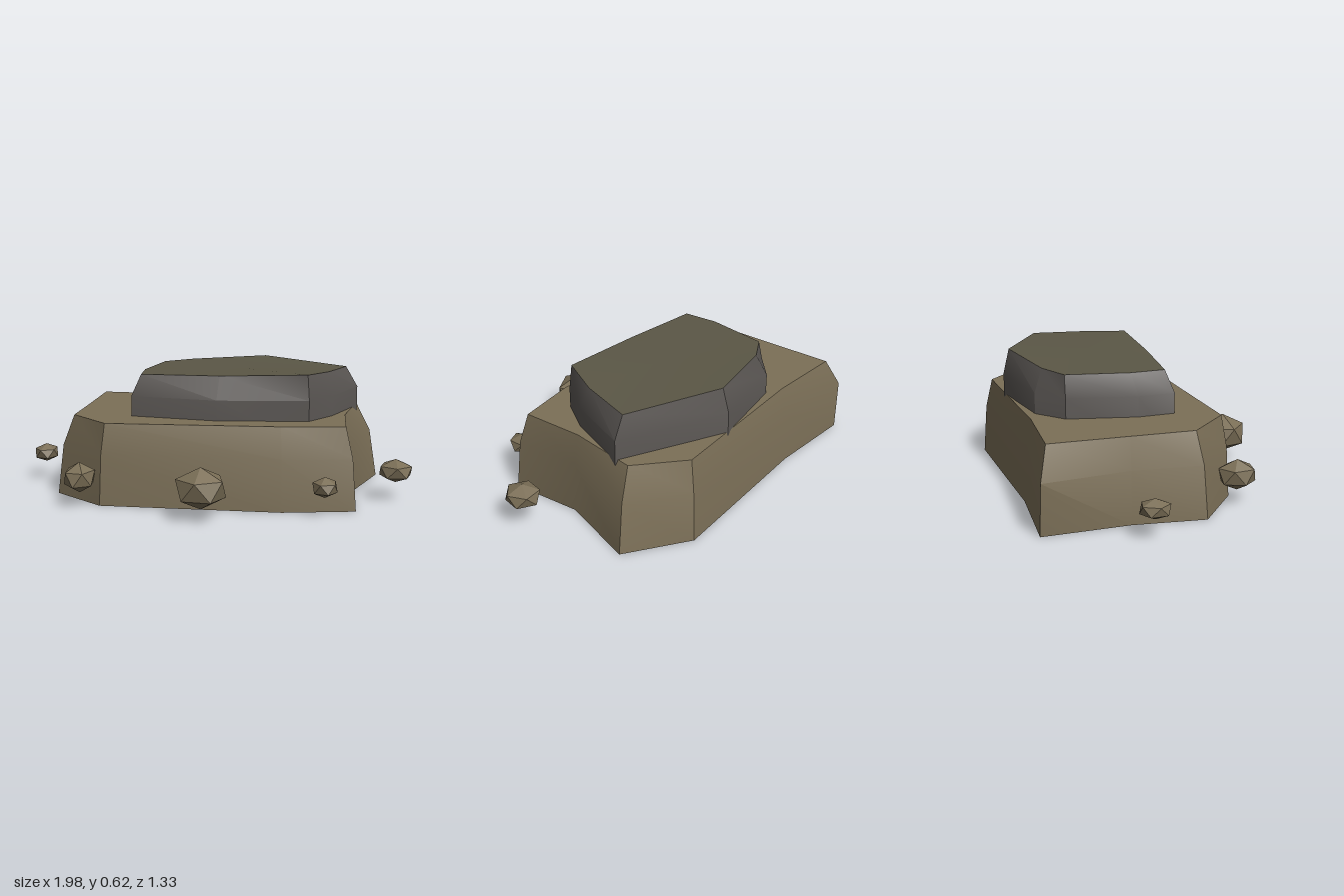
import * as THREE from 'three';
import { toCreasedNormals } from 'three/addons/utils/BufferGeometryUtils.js';

const rock = (color) => new THREE.MeshStandardMaterial({ color, side: THREE.DoubleSide });
const earth = rock(0x7b6f57), slate = rock(0x5a5653), moss = rock(0x5b5746), olive = rock(0x666138);

// Triangles to a mesh with soft normals inside each side and sharp corners
function facetMesh(name, points, material) {
  const geo = new THREE.BufferGeometry().setFromPoints(points);
  geo.computeVertexNormals();
  const mesh = new THREE.Mesh(toCreasedNormals(geo, 0.5), material);
  mesh.name = name;
  return mesh;
}

// Wall through stacked rings, corners clockwise from above
function wall(name, rings, material) {
  const points = [];
  for (let r = 0; r + 1 < rings.length; r++) {
    const lo = rings[r], hi = rings[r + 1];
    lo.forEach((a, i) => {
      const j = (i + 1) % lo.length;
      points.push(a, hi[i], hi[j], a, hi[j], lo[j]);
    });
  }
  return facetMesh(name, points, material);
}

// Flat cap fanned from the middle of a ring
function cap(name, ring, material) {
  const mid = new THREE.Vector3();
  ring.forEach((p) => mid.addScaledVector(p, 1 / ring.length));
  const points = [];
  ring.forEach((p, i) => points.push(mid, ring[(i + 1) % ring.length], p));
  return facetMesh(name, points, material);
}

const ringAt = (corners, y) => corners.map(([x, z, h]) => new THREE.Vector3(x, h ?? y, z));

// Faceted pebble with a corner pointing up
function pebble(name, [x, y, z], [rx, ry, rz], turn, material) {
  const geo = new THREE.IcosahedronGeometry(1, 0);
  geo.rotateZ(Math.atan(2 / (1 + Math.sqrt(5))));
  geo.rotateY(turn);
  geo.scale(rx, ry, rz);
  const mesh = new THREE.Mesh(geo, material);
  mesh.position.set(x, y, z);
  mesh.name = name;
  return mesh;
}

export function createModel() {
  const model = new THREE.Group();
  model.name = 'rockFormation';

  // Wide lower rock, open underneath
  const foot = ringAt([[-0.82, -0.52], [-0.37, -0.54], [0.46, -0.67], [0.77, -0.5], [0.68, -0.1],
    [0.74, 0.25], [0.4, 0.35], [-0.48, 0.43], [-0.76, 0.25], [-0.76, -0.1]], 0);
  const rim = ringAt([[-0.75, -0.48], [-0.36, -0.5], [0.43, -0.62], [0.66, -0.45], [0.64, -0.1],
    [0.68, 0.21], [0.38, 0.28], [-0.46, 0.39], [-0.68, 0.21], [-0.71, -0.1]], 0.4);
  const waist = foot.map((p, i) => {
    const q = p.clone().lerp(rim[i], 0.35);
    q.y = 0.25;
    return q;
  });
  waist[0].set(-0.835, 0.25, -0.515);
  const lower = new THREE.Group();
  lower.name = 'lowerRock';
  lower.add(wall('lowerRockSides', [foot, waist, rim], earth), cap('lowerRockTop', rim, earth));

  // Smaller slab sunk into the lower rock
  const outline = [[-0.39, -0.34], [-0.27, -0.47], [0.14, -0.58], [0.67, -0.38], [0.58, -0.05],
    [0.49, 0.12], [0.05, 0.21], [-0.39, 0.18], [-0.42, 0]];
  const crown = ringAt([[-0.36, -0.34, 0.605], [-0.23, -0.43, 0.61], [0.15, -0.55, 0.625],
    [0.61, -0.37, 0.605], [0.56, -0.1, 0.615], [0.48, 0.11, 0.625], [0.05, 0.14, 0.61],
    [-0.35, 0.14, 0.605], [-0.38, -0.03, 0.605]], 0.6);
  const upper = new THREE.Group();
  upper.name = 'upperRock';
  upper.add(wall('upperRockSides', [ringAt(outline, 0.27), ringAt(outline, 0.5), crown], slate),
    cap('upperRockTop', crown, moss));
  model.add(lower, upper);

  // Loose pebbles around the foot
  [
    [[0.055, 0.15, 0.55], [0.132, 0.1, 0.125], 0.3],
    [[-0.575, 0.14, 0.44], [0.082, 0.075, 0.1], 0.9],
    [[0.605, 0.14, 0.365], [0.066, 0.05, 0.075], 0.1],
    [[0.905, 0.15, 0], [0.09, 0.058, 0.092], 0.5],
    [[-0.935, 0.14, -0.035], [0.065, 0.048, 0.078], 0.2],
  ].forEach(([at, size, turn], i) => model.add(pebble('pebble' + (i + 1), at, size, turn, earth)));

  // Stone in the hollow below
  model.add(pebble('innerStone', [-0.08, 0.2, -0.225], [0.11, 0.07, 0.11], 0.4, olive));
  return model;
}
